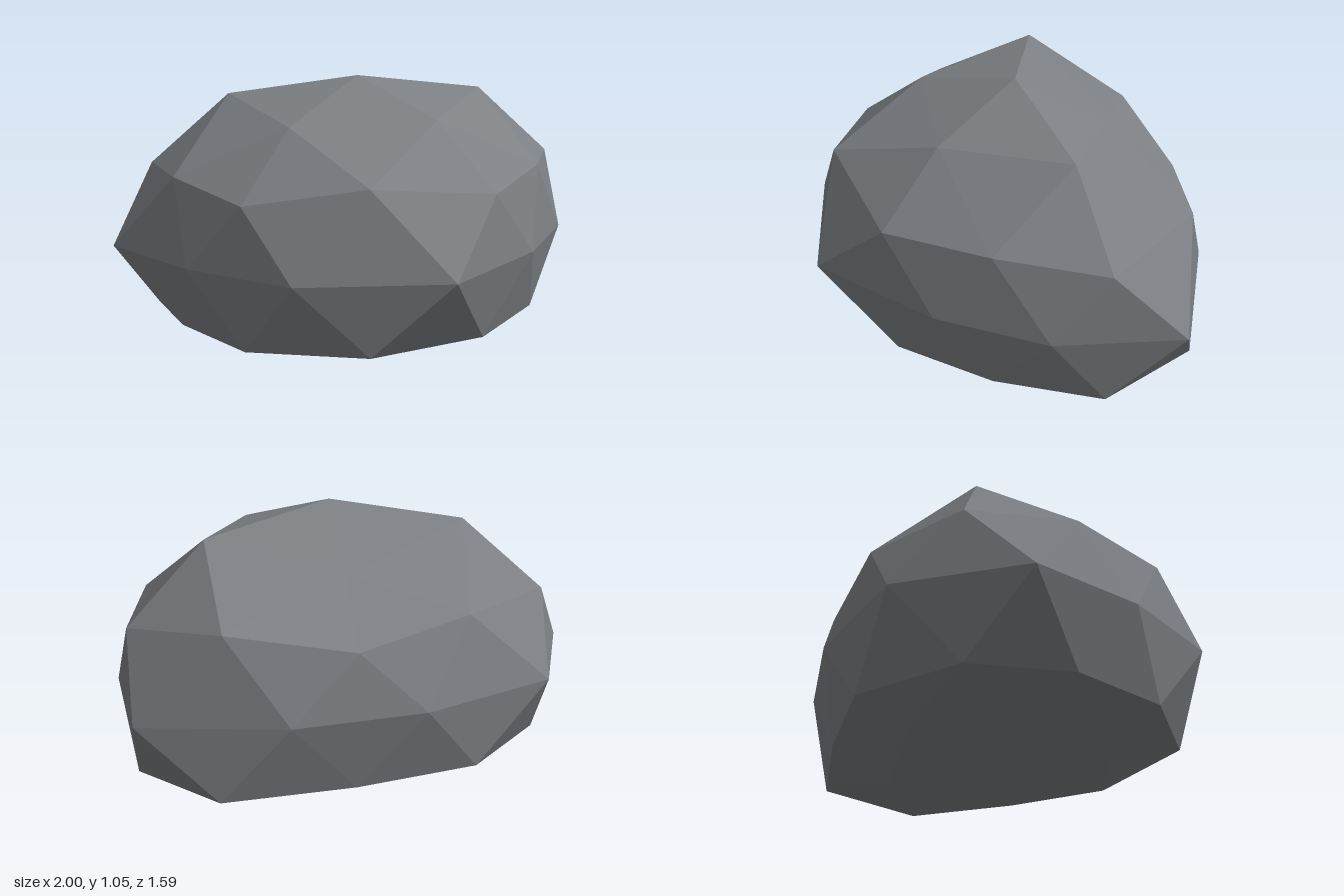
import * as THREE from 'three';

// Boulder: a 42-point icosphere, each point pushed in or out, stretched, with a flattened underside.
const CENTRE = [-0.02, 0.377, -0.08];
const STRETCH = [1.23, 0.785, 1];

// radius factors, going round from +x towards +z
const TOP = 0.857, BOTTOM = 0.83;
const CROWN = [0.88, 0.8, 0.785, 0.885, 0.705];
const UPPER = [0.825, 0.757, 0.8, 0.85, 0.763, 0.77, 0.84, 0.776, 0.715, 0.855];
const EQUATOR = [0.725, 0.705, 0.87, 0.8, 0.717, 0.838, 0.843, 0.72, 0.73, 0.872];
const LOWER = [0.838, 0.7, 0.775, 0.823, 0.79, 0.71, 0.865, 0.79, 0.73, 0.845];
const BASE = [0.75, 0.86, 0.74, 0.84, 0.87];

// point at an azimuth in degrees and unit height, scaled by its radius factor
function point(azimuth, height, k) {
  const a = THREE.MathUtils.degToRad(azimuth);
  const r = Math.sqrt(1 - height * height);
  let y = height * k * STRETCH[1];
  if (y < 0) y = -0.24 + y * 0.21; // flattened underside
  return [
    CENTRE[0] + Math.cos(a) * r * k * STRETCH[0],
    CENTRE[1] + y,
    CENTRE[2] + Math.sin(a) * r * k * STRETCH[2],
  ];
}

function boulderGeometry() {
  const positions = [];
  const equator = EQUATOR.map((k, j) => point(18 + 36 * j, 0, k));

  // one half, from pole to equator; sign is +1 above and -1 below
  function half(sign, poleK, capK, ringK) {
    const shift = sign > 0 ? 0 : 1;
    const face = (a, b, c) => positions.push(...a, ...(sign > 0 ? b : c), ...(sign > 0 ? c : b));
    const pole = point(0, sign, poleK);
    const cap = capK.map((k, i) => point(72 * i + 36 * shift, sign * 0.851, k));
    const ring = ringK.map((k, j) => point(36 * j, sign * ((j + shift) % 2 ? 0.526 : 0.447), k));
    for (let i = 0; i < 5; i++) {
      const next = cap[(i + 1) % 5];
      const [b0, c, b1] = [0, 1, 2].map((n) => ring[(2 * i + shift + n) % 10]);
      face(pole, next, cap[i]);
      face(cap[i], c, b0);
      face(cap[i], next, c);
      face(next, b1, c);
    }
    for (let j = 0; j < 10; j++) {
      face(ring[j], ring[(j + 1) % 10], equator[j]);
      face(ring[j], equator[j], equator[(j + 9) % 10]);
    }
  }
  half(1, TOP, CROWN, UPPER);
  half(-1, BOTTOM, BASE, LOWER);

  const geometry = new THREE.BufferGeometry();
  geometry.setAttribute('position', new THREE.Float32BufferAttribute(positions, 3));
  geometry.computeVertexNormals();
  return geometry;
}

export function createModel() {
  const stone = new THREE.MeshStandardMaterial({ color: 0x7c8084, flatShading: true });
  stone.name = 'stone grey';
  const boulder = new THREE.Mesh(boulderGeometry(), stone);
  boulder.name = 'boulder';
  const group = new THREE.Group();
  group.name = 'rock';
  group.add(boulder);
  return group;
}
